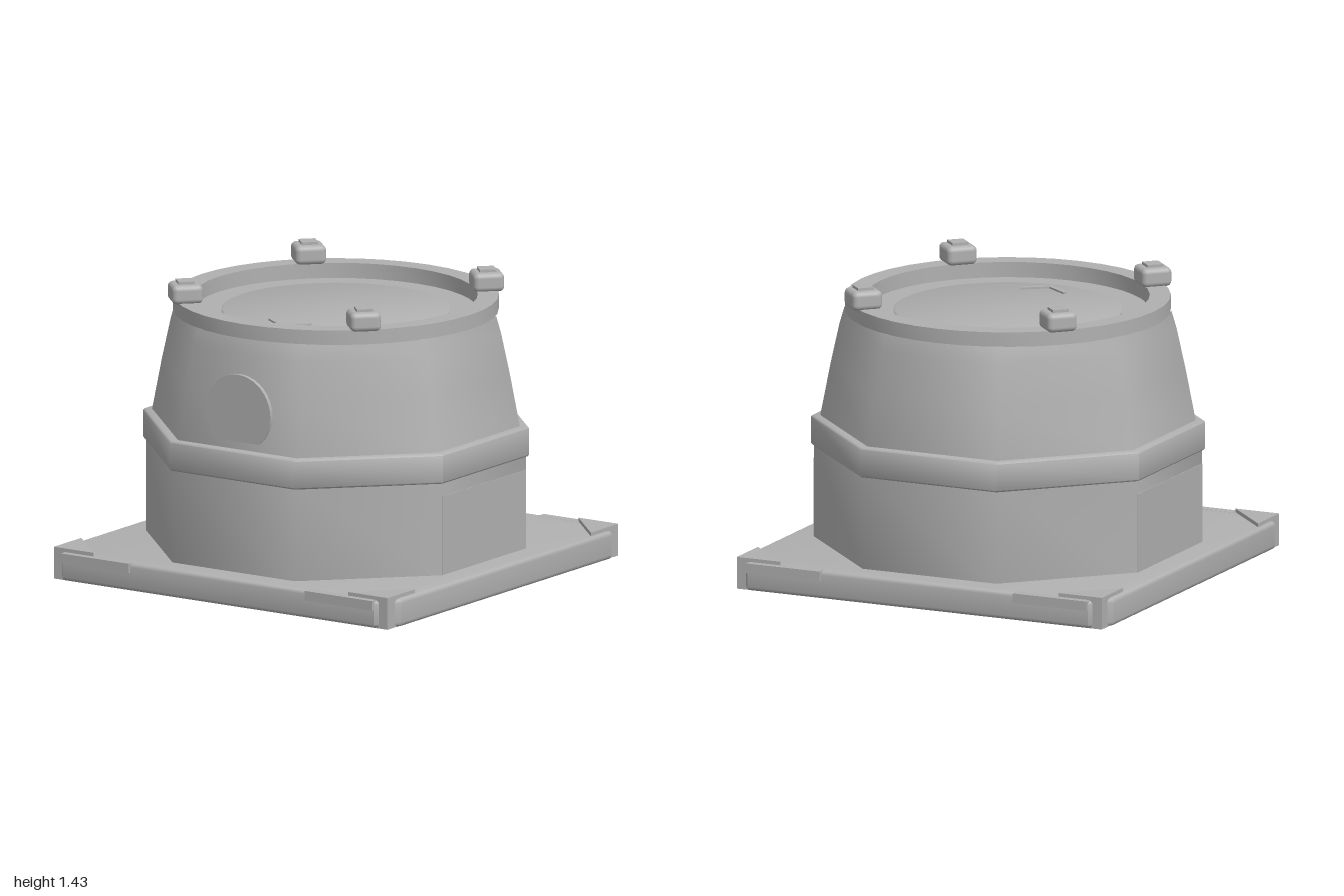
import * as THREE from 'three';
import { toCreasedNormals } from 'three/addons/utils/BufferGeometryUtils.js';
import { RoundedBoxGeometry } from 'three/addons/geometries/RoundedBoxGeometry.js';

export function createModel() {
  const model = new THREE.Group();
  const grey = new THREE.MeshStandardMaterial({ color: 0xb0b0b0 });
  grey.name = 'grey';

  const add = (name, geometry, x = 0, y = 0, z = 0, parent = model) => {
    const mesh = new THREE.Mesh(geometry, grey);
    mesh.name = name;
    mesh.position.set(x, y, z);
    parent.add(mesh);
    return mesh;
  };
  const turned = (points, sides, start = 0) => toCreasedNormals(
    new THREE.LatheGeometry(points.map(([r, y]) => new THREE.Vector2(r, y)), sides, start), 0.9);
  // Eight-sided body from [distance to flat, height] pairs
  const octagon = (points) => turned(
    points.map(([a, y]) => [a / Math.cos(Math.PI / 8), y]), 8, Math.PI / 8);
  // Flat outline in x, z raised upward from y = 0
  const slab = (outline, height, bevel = 0) => {
    const shape = new THREE.Shape(outline.map(([x, z]) => new THREE.Vector2(x, -z)));
    const g = new THREE.ExtrudeGeometry(shape, {
      depth: height - 2 * bevel, bevelEnabled: bevel > 0, bevelSize: bevel,
      bevelThickness: bevel, bevelOffset: -bevel, bevelSegments: 3,
    });
    g.rotateX(-Math.PI / 2).translate(0, bevel, 0);
    return toCreasedNormals(g, 0.7);
  };

  // Base plate with clipped corners
  const a = 0.985, b = 0.9, c = 0.88;
  add('basePlate', slab([[b, a], [a, c], [a, -c], [b, -a], [-b, -a], [-a, -c], [-a, c], [-b, a]], 0.137, 0.02));

  // Corner brackets and edge strips
  for (const sx of [-1, 1]) {
    for (const sz of [-1, 1]) {
      add('cornerBracket', slab([[0.965 * sx, 0.965 * sz], [0.735 * sx, 0.965 * sz], [0.965 * sx, 0.735 * sz]], 0.155));
      add('edgeStrip', new THREE.BoxGeometry(0.39, 0.047, 0.05), 0.705 * sx, 0.114, 0.975 * sz);
    }
  }

  // Lower body, belt and tapered upper body
  add('lowerBody', octagon([[0.855, 0.13], [0.855, 0.6]]));
  add('belt', octagon([[0.8, 0.585], [0.86, 0.585], [0.868, 0.593], [0.868, 0.722], [0.86, 0.73], [0.8, 0.73]]));
  add('upperBody', octagon([[0.828, 0.72], [0.782, 0.98], [0.742, 1.18], [0.72, 1.262]]));
  for (const sx of [-1, 1]) {
    add('sidePanel', new THREE.BoxGeometry(0.008, 0.39, 0.7), 0.854 * sx, 0.325, 0);
  }

  // Top rim with sunken floor
  add('topRim', turned([[0.6, 1.26], [0.775, 1.26], [0.775, 1.33], [0.675, 1.33], [0.675, 1.256], [0, 1.256]], 40));
  add('floorDisc', turned([[0.545, 1.25], [0.545, 1.26], [0.535, 1.265], [0, 1.265]], 40));
  add('chevron', slab([[-0.115, 0.37], [0, 0.45], [0.115, 0.37], [0.115, 0.4], [0, 0.48], [-0.115, 0.4]], 0.014), 0, 1.26, 0);

  // Four clamps on the rim
  for (const sx of [-1, 1]) {
    for (const sz of [-1, 1]) {
      const clamp = new THREE.Group();
      clamp.name = 'clamp';
      clamp.position.set(0.515 * sx, 1.325, 0.515 * sz);
      clamp.rotation.y = Math.PI / 4;
      add('clampBlock', new RoundedBoxGeometry(0.15, 0.092, 0.15, 3, 0.025), 0, 0.046, 0, clamp);
      add('clampCap', new THREE.BoxGeometry(0.08, 0.03, 0.08), 0, 0.09, 0, clamp);
      model.add(clamp);
    }
  }

  // Round plate on the front, carried by a boss
  const round = (r, depth) => new THREE.CylinderGeometry(r, r, depth, 40).rotateX(Math.PI / 2);
  add('frontPlate', round(0.187, 0.02), 0, 0.905, 0.81);
  add('frontBoss', round(0.13, 0.1), 0, 0.905, 0.752);

  return model;
}
